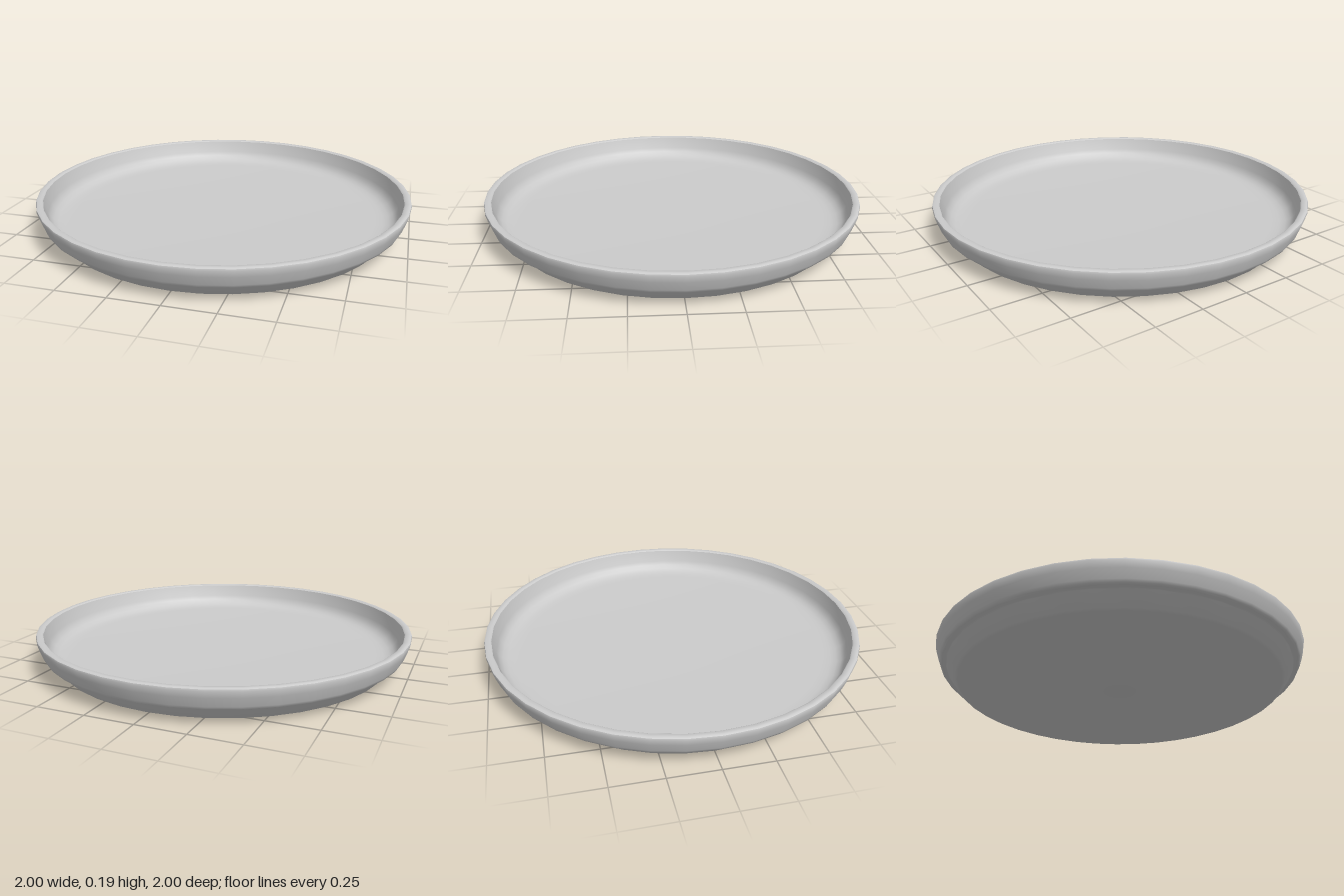
import * as THREE from 'three';
import { toCreasedNormals } from 'three/addons/utils/BufferGeometryUtils.js';

const SIDES = 40;

export function createModel() {
  const group = new THREE.Group();
  group.name = 'roundTray';

  // Closed cross-section [radius, height], from the underside out, over the rim and back to the floor centre
  const profile = [
    // underside and sloping foot
    [0, 0], [0.87, 0.005], [0.887, 0.012], [0.934, 0.077],
    // overhanging lip with rounded lower and upper edges
    [0.938, 0.08], [0.958, 0.081], [0.967, 0.086], [0.974, 0.1],
    [0.99, 0.145], [1, 0.178], [0.998, 0.187], [0.99, 0.191],
    // rim top and inner wall
    [0.97, 0.191], [0.963, 0.186], [0.945, 0.12],
    // fillet down to the flat floor
    [0.935, 0.097], [0.918, 0.078], [0.895, 0.066], [0.865, 0.06], [0.82, 0.058], [0, 0.058],
  ].map(([r, y]) => new THREE.Vector2(r, y));

  const geometry = toCreasedNormals(new THREE.LatheGeometry(profile, SIDES), THREE.MathUtils.degToRad(38));
  const tray = new THREE.Mesh(geometry, new THREE.MeshStandardMaterial({ color: 0xcccccc }));
  tray.name = 'tray';
  group.add(tray);
  return group;
}
